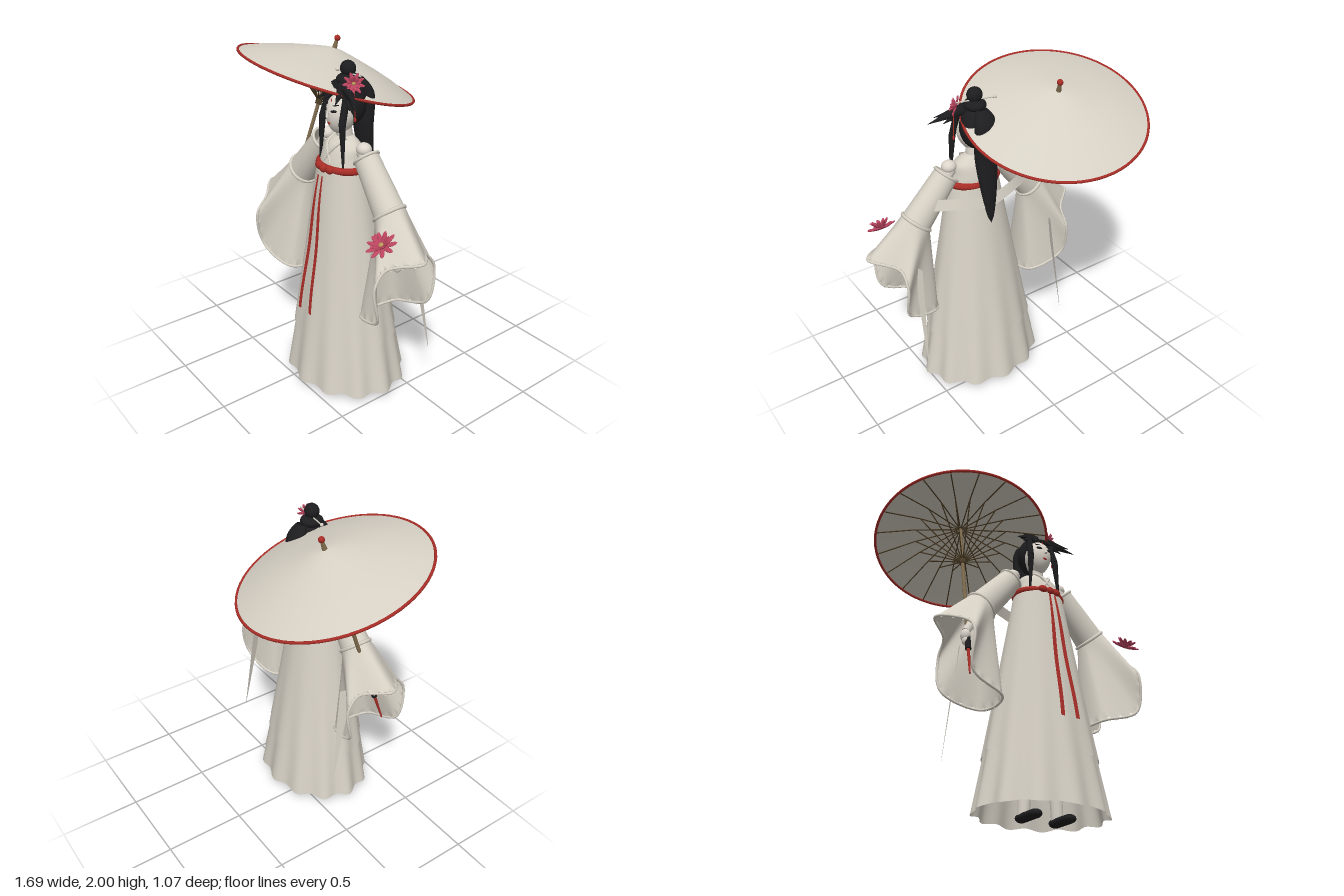
import * as THREE from 'three';
import { ParametricGeometry } from 'three/addons/geometries/ParametricGeometry.js';

const V = (x, y, z) => new THREE.Vector3(x, y, z);
const paint = (name, color, side = THREE.FrontSide) => {
  const m = new THREE.MeshStandardMaterial({ color, side });
  m.name = name;
  return m;
};
const CX = 0.122; // centre line of the figure
const lerp = THREE.MathUtils.lerp, clamp = THREE.MathUtils.clamp, TAU = Math.PI * 2;

export function createModel() {
  const root = new THREE.Group();
  const cloth = paint('ivory cloth', 0xd6d0c4, THREE.DoubleSide);
  const skin = paint('pale skin', 0xdcd5cb);
  const red = paint('red', 0xa92d27, THREE.DoubleSide);
  const black = paint('black', 0x1d1d1f);
  const pink = paint('pink', 0xbd4560);
  const gold = paint('yellow', 0xb89a58);
  const wood = paint('bamboo', 0x7d6a4c);
  const darkWood = paint('dark bamboo', 0x4c3d26);

  const add = (parent, name, geo, mat) => {
    const m = new THREE.Mesh(geo, mat);
    m.name = name;
    parent.add(m);
    return m;
  };
  const group = (name, parent = root) => {
    const g = new THREE.Group();
    g.name = name;
    parent.add(g);
    return g;
  };
  const surf = (p, name, f, nu, nv, mat) => add(p, name, new ParametricGeometry(f, nu, nv), mat);
  const ball = (p, name, c, rx, ry, rz, mat) => {
    const m = add(p, name, new THREE.SphereGeometry(1, 24, 16), mat);
    m.position.copy(c);
    m.scale.set(rx, ry, rz);
    return m;
  };
  const rod = (p, name, a, b, r1, r2, mat, n = 10) => {
    const d = b.clone().sub(a);
    const m = add(p, name, new THREE.CylinderGeometry(r2, r1, d.length(), n), mat);
    m.position.copy(a).addScaledVector(d, 0.5);
    m.quaternion.setFromUnitVectors(V(0, 1, 0), d.normalize());
    return m;
  };
  const tube = (p, name, pts, r, mat, closed = false, n = 64) =>
    add(p, name, new THREE.TubeGeometry(new THREE.CatmullRomCurve3(pts, closed), n, r, 8, closed), mat);
  const flower = (name, c, normal, size) => {
    const g = group(name);
    for (let layer = 0; layer < 2; layer++) for (let i = 0; i < 9; i++) {
      const arm = group('petalArm', g);
      arm.rotation.y = (i + layer / 2) * TAU / 9;
      const lift = layer ? 0.75 : 0.2, r = size * (layer ? 0.42 : 0.55);
      const m = ball(arm, 'petal', V(r * Math.cos(lift), r * Math.sin(lift), 0), size * 0.45, size * 0.07, size * 0.15, pink);
      m.rotation.z = lift;
    }
    ball(g, 'flowerHeart', V(0, size * 0.15, 0), size * 0.17, size * 0.17, size * 0.17, gold);
    g.position.copy(c);
    g.quaternion.setFromUnitVectors(V(0, 1, 0), normal.normalize());
  };

  // Skirts: pleated elliptical cones, the outer one split at the front
  const skirtPoint = (th, y, rx, rz, out) => {
    const t = (1.4 - y) / 1.36;
    const w = 1 + 0.035 * t * t * Math.cos(12 * th);
    out.set(CX + rx * w * Math.sin(th), y, 0.2 - 0.01 * t + rz * w * Math.cos(th));
  };
  const skirt = group('skirt');
  surf(skirt, 'underSkirt', (u, v, o) => {
    const th = u * TAU, y = 1.4 - v * (1.355 + 0.006 * Math.cos(12 * th)), t = (1.4 - y) / 1.36;
    skirtPoint(th, y, 0.146 + 0.25 * t, 0.118 + 0.207 * t, o);
  }, 144, 24, cloth);
  surf(skirt, 'overSkirt', (u, v, o) => {
    const y = 1.4 - v * (1.04 + 0.01 * Math.cos(u * TAU * 6)), t = (1.4 - y) / 1.36;
    const rx = 0.158 + 0.245 * t, rz = 0.13 + 0.202 * t;
    const s = Math.sqrt(clamp((1.25 - y) / 0.12, 0, 1));
    const a = Math.asin((0.07 + 0.08 * t) * s / rx), b = TAU - Math.asin(0.09 * s / rx);
    skirtPoint(lerp(a, b, u), y, rx, rz, o);
  }, 120, 48, cloth);

  // Bodice, neck and crossed collar
  const rows = [[1.38, 0.152, 0.12, 0.2], [1.45, 0.137, 0.108, 0.197], [1.51, 0.125, 0.088, 0.19], [1.545, 0.085, 0.062, 0.183], [1.565, 0.045, 0.045, 0.18]];
  const bodice = new THREE.CatmullRomCurve3(rows.map(r => V(r[1], r[0], r[2])));
  surf(root, 'bodice', (u, v, o) => {
    const p = bodice.getPoint(v), th = u * TAU;
    o.set(CX + p.x * Math.sin(th), p.y, lerp(0.2, 0.18, v) + p.z * Math.cos(th));
  }, 40, 16, cloth);
  rod(root, 'neck', V(CX, 1.54, 0.18), V(CX, 1.64, 0.19), 0.047, 0.043, skin, 20);
  for (const s of [-1, 1])
    tube(root, 'collar', [V(CX + s * 0.055, 1.56, 0.21), V(CX + s * 0.035, 1.52, 0.274), V(CX - s * 0.03, 1.43, 0.306)], 0.008, cloth, false, 16);

  // Sash with knot and two hanging ribbons
  const sash = group('sash');
  tube(sash, 'belt', Array.from({ length: 20 }, (_, i) => V(CX + 0.15 * Math.sin(i * TAU / 20), 1.397, 0.2 + 0.113 * Math.cos(i * TAU / 20))), 0.022, red, true);
  ball(sash, 'knot', V(CX, 1.397, 0.33), 0.025, 0.024, 0.02, red);
  for (const s of [-1, 1]) {
    ball(sash, 'bow', V(CX + s * 0.045, 1.4, 0.325), 0.032, 0.024, 0.018, red);
    surf(sash, 'ribbon', (u, v, o) => {
      const w = lerp(0.012, 0.026, Math.min(1, v * 3));
      o.set(CX + s * lerp(0.018, 0.05, v) + (u - 0.5) * w, lerp(1.36, 0.53, v), lerp(0.352, 0.484, v) + 0.004 * Math.sin(v * 9));
    }, 2, 16, red);
  }

  // Arms with wide hanging sleeves, mirrored
  const rimHalf = [[0.58, 1.02, 0.36], [0.575, 0.93, 0.43], [0.565, 0.71, 0.4], [0.345, 0.625, 0.34]];
  for (const s of [-1, 1]) {
    const arm = group(s > 0 ? 'leftArm' : 'rightArm');
    const P = (x, y, z) => V(CX + s * x, y, z);
    ball(arm, 'shoulder', P(0.17, 1.525, 0.18), 0.045, 0.037, 0.042, skin);
    rod(arm, 'upperArm', P(0.16, 1.51, 0.18), P(0.4, 1.22, 0.185), 0.038, 0.032, skin);
    rod(arm, 'forearm', P(0.4, 1.22, 0.185), P(0.51, 1.03, 0.215), 0.032, 0.024, skin);
    ball(arm, 'hand', P(0.517, 1.0, 0.22), 0.028, 0.04, 0.032, skin);
    ball(arm, 'fingers', P(0.517, 0.965, 0.225), 0.022, 0.028, 0.024, skin);
    // ring of the sleeve at its start (k = 0) and at the elbow (k = 1)
    const ring = (u, k) => {
      const a = u * TAU, r = lerp(0.075, 0.094, k), c = r * Math.cos(a);
      return P(lerp(0.19, 0.4, k) + c * 0.75, lerp(1.48, 1.23, k) + c * 0.66, lerp(0.18, 0.187, k) + r * 0.92 * Math.sin(a));
    };
    const loop = k => Array.from({ length: 24 }, (_, i) => ring(i / 24, k));
    surf(arm, 'upperSleeve', (u, v, o) => o.copy(ring(u, v)), 32, 6, cloth);
    tube(arm, 'sleeveTopTrim', loop(0), 0.009, cloth, true);
    tube(arm, 'elbowTrim', loop(1), 0.011, cloth, true);
    const pts = [P(0.71, 1.065, 0.22), ...rimHalf.map(p => P(...p)), ...rimHalf.slice().reverse().map(p => P(p[0], p[1], 0.44 - p[2]))];
    const rim = new THREE.CatmullRomCurve3(pts, true);
    surf(arm, 'bellSleeve', (u, v, o) => {
      o.copy(ring(u, 1)).lerp(rim.getPoint(u % 1), v);
      const ruffle = clamp(v * 10 - 9, 0, 1) * Math.cos(u * TAU * 32);
      o.x += s * 0.005 * ruffle;
      o.y -= 0.012 * ruffle;
    }, 192, 10, cloth);
    tube(arm, 'sleeveHem', pts, 0.008, cloth, true, 96);
    // Shawl end hanging from the forearm
    surf(arm, 'shawlEnd', (u, v, o) => {
      const w = 0.07 * (1 - v) + 0.004;
      o.copy(P(lerp(0.475, 0.508, v) + (u - 0.5) * 0.3 * w, lerp(1.0, 0.33, v), lerp(0.07, -0.04, v) + (u - 0.5) * w));
    }, 2, 12, cloth);
    // Shoe and leg
    const shoe = add(root, 'shoe', new THREE.CapsuleGeometry(0.038, 0.13, 6, 16), black);
    shoe.rotation.x = Math.PI / 2;
    shoe.scale.z = 0.68;
    shoe.position.set(CX + s * 0.112, 0.026, 0.228);
    rod(root, 'leg', V(CX + s * 0.112, 0.035, 0.18), V(CX + s * 0.08, 0.7, 0.2), 0.034, 0.05, skin, 16);
  }

  // Shawl band across the back
  const band = new THREE.CatmullRomCurve3([V(CX - 0.34, 1.35, 0.12), V(CX - 0.18, 1.34, 0.05), V(CX, 1.31, 0.025), V(CX + 0.18, 1.34, 0.05), V(CX + 0.34, 1.35, 0.12)]);
  surf(root, 'shawlBack', (u, v, o) => {
    o.copy(band.getPoint(u));
    o.y += (v - 0.5) * 0.065;
    o.z += (v - 0.5) * 0.02;
  }, 30, 3, cloth);

  // Head and face
  const head = group('head');
  const face = add(head, 'face', new THREE.SphereGeometry(1, 32, 24), skin);
  const fp = face.geometry.attributes.position;
  for (let i = 0; i < fp.count; i++) {
    const k = 1 - 0.28 * Math.max(0, -fp.getY(i)) ** 1.5;
    fp.setX(i, fp.getX(i) * k);
  }
  face.geometry.computeVertexNormals();
  face.position.set(CX, 1.69, 0.205);
  face.scale.set(0.083, 0.115, 0.087);
  const onFace = (dx, y) => V(CX + dx, y, 0.206 + 0.087 * Math.sqrt(1 - (dx / 0.083) ** 2 - ((y - 1.69) / 0.115) ** 2));
  for (const s of [-1, 1]) {
    const eye = ball(head, 'eye', onFace(s * 0.036, 1.722), 0.019, 0.008, 0.004, black);
    eye.rotation.set(0, s * 0.45, s * 0.15);
    const lash = ball(head, 'brow', onFace(s * 0.038, 1.753), 0.021, 0.003, 0.004, black);
    lash.rotation.set(0, s * 0.45, s * 0.2);
  }
  rod(head, 'nose', onFace(0, 1.73), V(CX, 1.685, 0.3), 0.004, 0.009, skin);
  ball(head, 'lips', onFace(0, 1.65), 0.014, 0.007, 0.004, red);
  ball(head, 'foreheadMark', onFace(0, 1.772), 0.004, 0.011, 0.003, red);

  // Hair: cap, bun, ponytail, locks and swept spikes
  const hair = group('hair');
  ball(hair, 'hairCap', V(CX, 1.735, 0.15), 0.094, 0.125, 0.1, black);
  ball(hair, 'bunBase', V(CX, 1.872, 0.155), 0.065, 0.035, 0.068, black);
  ball(hair, 'bun', V(CX, 1.93, 0.155), 0.046, 0.044, 0.042, black);
  const tail = new THREE.CatmullRomCurve3([V(CX, 1.87, 0.08), V(CX, 1.78, 0.045), V(CX, 1.6, 0.05), V(CX, 1.4, 0.03), V(CX, 1.17, 0.008)]);
  surf(hair, 'ponytail', (u, v, o) => {
    const c = tail.getPoint(v), a = -u * TAU, w = Math.pow(Math.sin(Math.PI * Math.pow(lerp(0.03, 1, v), 0.75)), 0.6) || 0;
    o.set(c.x + 0.075 * w * Math.cos(a), c.y, c.z + 0.048 * w * Math.sin(a));
  }, 24, 24, paint('black hair', 0x1d1d1f, THREE.DoubleSide));
  const spikes = [[-0.055, 1.775, 0.25], [-0.02, 1.75, 0.26], [0.0, 1.815, 0.24], [0.355, 1.765, 0.28], [0.32, 1.8, 0.27], [0.27, 1.75, 0.26], [0.055, 1.76, 0.285], [0.185, 1.765, 0.29]];
  for (const p of spikes) rod(hair, 'hairSpike', V(lerp(CX, p[0], 0.2), 1.84, 0.2), V(...p), 0.034, 0.001, black, 8);
  for (const s of [-1, 1]) {
    rod(hair, 'sideLock', V(CX + s * 0.075, 1.82, 0.22), V(CX + s * 0.09, 1.66, 0.265), 0.02, 0.02, black);
    rod(hair, 'sideLockEnd', V(CX + s * 0.09, 1.66, 0.265), V(CX + s * 0.108, 1.37, 0.275), 0.02, 0.003, black);
  }
  rod(hair, 'hairpin', V(0.0, 1.895, 0.135), V(0.24, 1.91, 0.16), 0.004, 0.004, cloth);
  ball(hair, 'hairpinBead', V(0.0, 1.895, 0.135), 0.011, 0.011, 0.011, cloth);
  rod(hair, 'pendant', V(0.23, 1.86, 0.2), V(0.24, 1.68, 0.2), 0.003, 0.003, red);
  ball(hair, 'pendantBead', V(0.24, 1.68, 0.2), 0.007, 0.014, 0.007, red);
  flower('hairFlower', V(0.215, 1.872, 0.19), V(0.75, 0.3, 0.55), 0.062);
  flower('sleeveFlower', V(0.665, 1.145, 0.355), V(0.05, 0.85, 0.5), 0.09);

  // Parasol, built upright around its rim centre and then tilted
  const parasol = group('parasol');
  const profile = [[0.001, 0.16], [0.06, 0.15], [0.13, 0.133], [0.3, 0.087], [0.42, 0.048], [0.54, 0]];
  add(parasol, 'canopy', new THREE.LatheGeometry(profile.map(p => new THREE.Vector2(...p)), 56), cloth);
  add(parasol, 'canopyRim', new THREE.TorusGeometry(0.54, 0.008, 8, 72), red).rotation.x = Math.PI / 2;
  for (let i = 0; i < 20; i++) {
    const rib = group('rib', parasol);
    rib.rotation.y = i * TAU / 20;
    rod(rib, 'longRibInner', V(0.02, 0.145, 0), V(0.3, 0.079, 0), 0.004, 0.004, darkWood, 5);
    rod(rib, 'longRibOuter', V(0.3, 0.079, 0), V(0.53, -0.003, 0), 0.004, 0.004, darkWood, 5);
    rod(rib, 'strut', V(0.014, -0.16, 0), V(0.29, 0.079, 0), 0.004, 0.004, darkWood, 5);
  }
  rod(parasol, 'hub', V(0, -0.19, 0), V(0, -0.14, 0), 0.02, 0.022, darkWood, 16);
  rod(parasol, 'shaft', V(0, -0.8, 0), V(0, 0.17, 0), 0.011, 0.011, wood, 12);
  rod(parasol, 'grip', V(0, -0.92, 0), V(0, -0.78, 0), 0.017, 0.017, black, 14);
  rod(parasol, 'handleTip', V(0, -1.1, 0), V(0, -0.92, 0), 0.005, 0.01, red);
  rod(parasol, 'finialStem', V(0, 0.15, 0), V(0, 0.21, 0), 0.016, 0.009, wood, 12);
  ball(parasol, 'finial', V(0, 0.217, 0), 0.018, 0.018, 0.018, red);
  parasol.position.set(-0.307, 1.775, -0.015);
  parasol.quaternion.setFromUnitVectors(V(0, 1, 0), V(0.1, 1, -0.31).normalize());

  return root;
}
